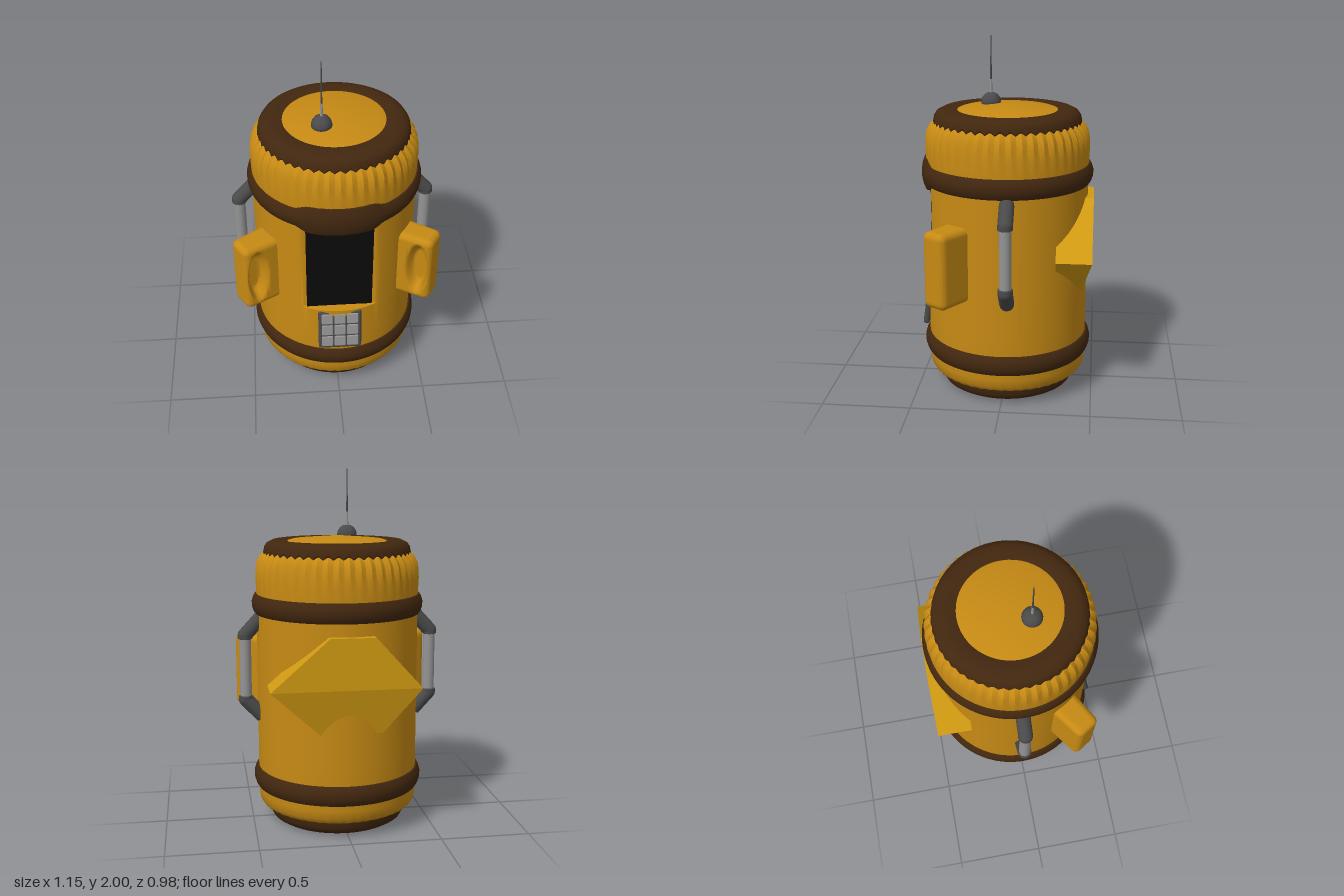
import * as THREE from 'three';
import { toCreasedNormals } from 'three/addons/utils/BufferGeometryUtils.js';
import { RoundedBoxGeometry } from 'three/addons/geometries/RoundedBoxGeometry.js';

const mat = (color, extra = {}) => new THREE.MeshStandardMaterial({ color, ...extra });
const YELLOW = mat(0xc68a14);
const PLATE = mat(0xd09a12, { flatShading: true });
const BROWN = mat(0x42270f);
const BLACK = mat(0x0a0a0a);
const DARK = mat(0x4a4a4a);
const LIGHT = mat(0x949494);
const CX = 0.005; // barrel axis

function add(parent, name, geometry, material, x = 0, y = 0, z = 0) {
  const mesh = new THREE.Mesh(geometry, material);
  mesh.name = name;
  mesh.position.set(x, y, z);
  parent.add(mesh);
  return mesh;
}

// Move every vertex of a geometry by a rule
function deform(geometry, rule) {
  const p = geometry.attributes.position, v = new THREE.Vector3();
  for (let i = 0; i < p.count; i++) {
    rule(v.fromBufferAttribute(p, i));
    p.setXYZ(i, v.x, v.y, v.z);
  }
  return geometry;
}

// Turned part from [radius, height] pairs, optionally reshaped
function turned(points, rule = () => {}, segments = 192, crease = 0.6) {
  const pts = points.map(([r, y]) => new THREE.Vector2(r, y));
  return toCreasedNormals(deform(new THREE.LatheGeometry(pts, segments, Math.PI), rule), crease);
}

const smooth = THREE.MathUtils.smoothstep;

// Cylinder between two points
function rod(parent, name, a, b, r, material) {
  const from = new THREE.Vector3(...a), to = new THREE.Vector3(...b);
  const mesh = add(parent, name, new THREE.CylinderGeometry(r, r, from.distanceTo(to), 20), material);
  mesh.position.copy(from).add(to).multiplyScalar(0.5);
  mesh.quaternion.setFromUnitVectors(new THREE.Vector3(0, 1, 0), to.sub(from).normalize());
}

// Rounded arm with an oval hollow in its front side (side = +1 left, -1 right)
function armGeometry(side) {
  const h = new THREE.Vector3(0.133, 0.212, 0.075), r = 0.035;
  const inner = h.clone().subScalar(r), core = new THREE.Vector3();
  const g = new THREE.BoxGeometry(h.x * 2, h.y * 2, h.z * 2, 36, 48, 18);
  deform(g, (v) => {
    const face = v.z * side > h.z - 0.001;
    core.copy(v).clamp(inner.clone().negate(), inner);
    v.sub(core);
    if (v.lengthSq() > 0) v.setLength(r);
    v.add(core);
    v.z *= 1.06 - 0.7 * v.x;
    if (face) {
      const d = Math.hypot((v.x - 0.055) / 0.065, v.y / 0.18);
      v.z -= side * 0.06 * (1 - smooth(d, 0.55, 1.05));
    }
  });
  return toCreasedNormals(g, 0.9);
}

export function createModel() {
  const model = new THREE.Group();
  model.name = 'barrelRobot';

  // Barrel shell: flat recess for the window, fluted shoulder
  add(model, 'barrelBody', turned([
    [0.36, 0.08], [0.405, 0.085], [0.435, 0.1], [0.45, 0.125], [0.456, 0.17], [0.456, 0.4],
    [0.456, 0.618], [0.456, 0.624], [0.456, 0.9], [0.456, 1.24], [0.456, 1.25], [0.457, 1.32], [0.46, 1.4],
    [0.457, 1.45], [0.45, 1.49], [0.435, 1.52], [0.41, 1.545], [0.37, 1.56]], (v) => {
    if (v.y > 0.62 && v.y < 1.245) v.z = Math.min(v.z, 0.405);
    const flute = 0.016 * smooth(v.y, 1.34, 1.5) + 0.008 * (1 - smooth(v.y, 0.08, 0.13));
    const k = 1 + flute * (Math.cos(48 * Math.atan2(v.x, v.z)) - 0.6);
    v.x *= k;
    v.z *= k;
  }), YELLOW, CX);

  // Hoops; the upper one swells into a hood above the window
  const hoop = [[0.45, -0.056], [0.464, -0.055], [0.474, -0.04], [0.482, -0.015], [0.483, 0.01],
    [0.476, 0.035], [0.465, 0.053], [0.45, 0.056]];
  add(model, 'lowerHoop', turned(hoop, undefined, 128), BROWN, CX, 0.26);
  add(model, 'upperHoop', turned([[0.39, -0.056], ...hoop, [0.39, 0.056]], (v) => {
    if (v.z > 0) v.y *= 1 + 0.56 * (1 - smooth(Math.abs(v.x), 0.165, 0.245));
  }, 128), BROWN, CX, 1.26);

  // Top rim with scalloped lower edge, and shallow lid
  add(model, 'topRim', turned([[0.405, 1.53], [0.413, 1.548], [0.408, 1.575], [0.395, 1.595],
    [0.365, 1.61], [0.32, 1.613], [0.275, 1.605], [0.27, 1.59]], (v) => {
    if (v.y < 1.56) {
      const wave = Math.cos(48 * Math.atan2(v.x, v.z));
      v.y += 0.009 * wave;
      v.x *= 1 - 0.006 * wave;
      v.z *= 1 - 0.006 * wave;
    }
  }), BROWN, CX);
  add(model, 'lid', turned([[0.285, 1.604], [0.26, 1.612], [0.001, 1.636], [0, 1.636]], undefined, 48), YELLOW, CX);

  // Base ring with recessed floor
  add(model, 'baseRing', turned([[0.235, 0.05], [0.25, 0.025], [0.28, 0.006], [0.31, 0], [0.345, 0.004],
    [0.375, 0.022], [0.39, 0.05], [0.393, 0.085], [0.37, 0.1]], undefined, 96), BROWN, CX);
  add(model, 'baseFloor', new THREE.CylinderGeometry(0.25, 0.25, 0.02, 64), YELLOW, CX, 0.052, 0);

  // Window
  add(model, 'window', new THREE.BoxGeometry(0.366, 0.57, 0.012), BLACK, CX, 0.905, 0.404);

  // Keypad, leaning back
  const keypad = new THREE.Group();
  keypad.name = 'keypad';
  keypad.position.set(CX, 0.48, 0.45);
  keypad.rotation.x = -0.14;
  model.add(keypad);
  add(keypad, 'keypadFrame', new RoundedBoxGeometry(0.245, 0.262, 0.036, 3, 0.015), DARK);
  for (let i = -1; i <= 1; i++) {
    for (let j = -1; j <= 1; j++) {
      add(keypad, 'key', new RoundedBoxGeometry(0.064, 0.069, 0.02, 2, 0.006), LIGHT, i * 0.072, j * 0.077, 0.014);
    }
  }

  for (const side of [1, -1]) {
    const label = side > 0 ? 'left' : 'right';

    // Arm
    const c = Math.cos(0.57), s = Math.sin(0.57);
    const arm = add(model, label + 'Arm', armGeometry(side), YELLOW, side * 0.512 * c, 0.823, 0.512 * s);
    arm.rotation.y = side > 0 ? -0.57 : Math.PI + 0.57;

    // Side handle: upright grip with elbows into the barrel
    const handle = new THREE.Group();
    handle.name = label + 'Handle';
    handle.position.z = side > 0 ? -0.037 : -0.014;
    model.add(handle);
    const x = side * 0.532;
    rod(handle, 'grip', [x, 0.7, 0], [x, 1.1, 0], 0.033, LIGHT);
    for (const up of [1, -1]) {
      const yAt = (d) => 0.902 + up * d;
      rod(handle, 'elbowSleeve', [x, yAt(0.165), 0], [x, yAt(0.185), 0], 0.041, DARK);
      add(handle, 'elbowJoint', new THREE.SphereGeometry(0.041, 20, 12), DARK, x, yAt(0.185), 0);
      rod(handle, 'elbow', [x, yAt(0.185), 0], [side * 0.44, yAt(0.285), 0], 0.041, DARK);
    }
  }

  // Six-sided back plate: upright upper half, lower half sloping into the barrel
  const backPlate = new THREE.Group();
  backPlate.name = 'backPlate';
  model.add(backPlate);
  const halves = {
    upperPlate: [[0.43, 0.855], [0.115, 1.135], [-0.13, 1.135], [-0.385, 0.855]],
    lowerPlate: [[-0.385, 0.855], [-0.18, 0.6], [0.16, 0.6], [0.43, 0.855]],
  };
  for (const [name, corners] of Object.entries(halves)) {
    const shape = new THREE.Shape(corners.map(([x, y]) => new THREE.Vector2(x, y)));
    const g = new THREE.ExtrudeGeometry(shape, { depth: 0.195, bevelEnabled: false });
    deform(g, (v) => {
      v.z -= 0.49;
      if (v.y < 0.65 && v.z < -0.4) v.z = -0.43;
    });
    g.computeVertexNormals();
    add(backPlate, name, g, PLATE);
  }

  // Antenna
  const antenna = new THREE.Group();
  antenna.name = 'antenna';
  antenna.position.set(-0.068, 0, 0.1);
  model.add(antenna);
  add(antenna, 'antennaBase', turned([[0.045, 1.61], [0.056, 1.625], [0.056, 1.637], [0.051, 1.655],
    [0.038, 1.674], [0.02, 1.684], [0, 1.686]], undefined, 32, 0.9), DARK);
  add(antenna, 'antennaSocket', new THREE.CylinderGeometry(0.006, 0.008, 0.08, 12), LIGHT, 0, 1.72, 0);
  add(antenna, 'antennaRod', new THREE.CylinderGeometry(0.003, 0.0055, 0.32, 12), DARK, 0, 1.84, 0);

  return model;
}
